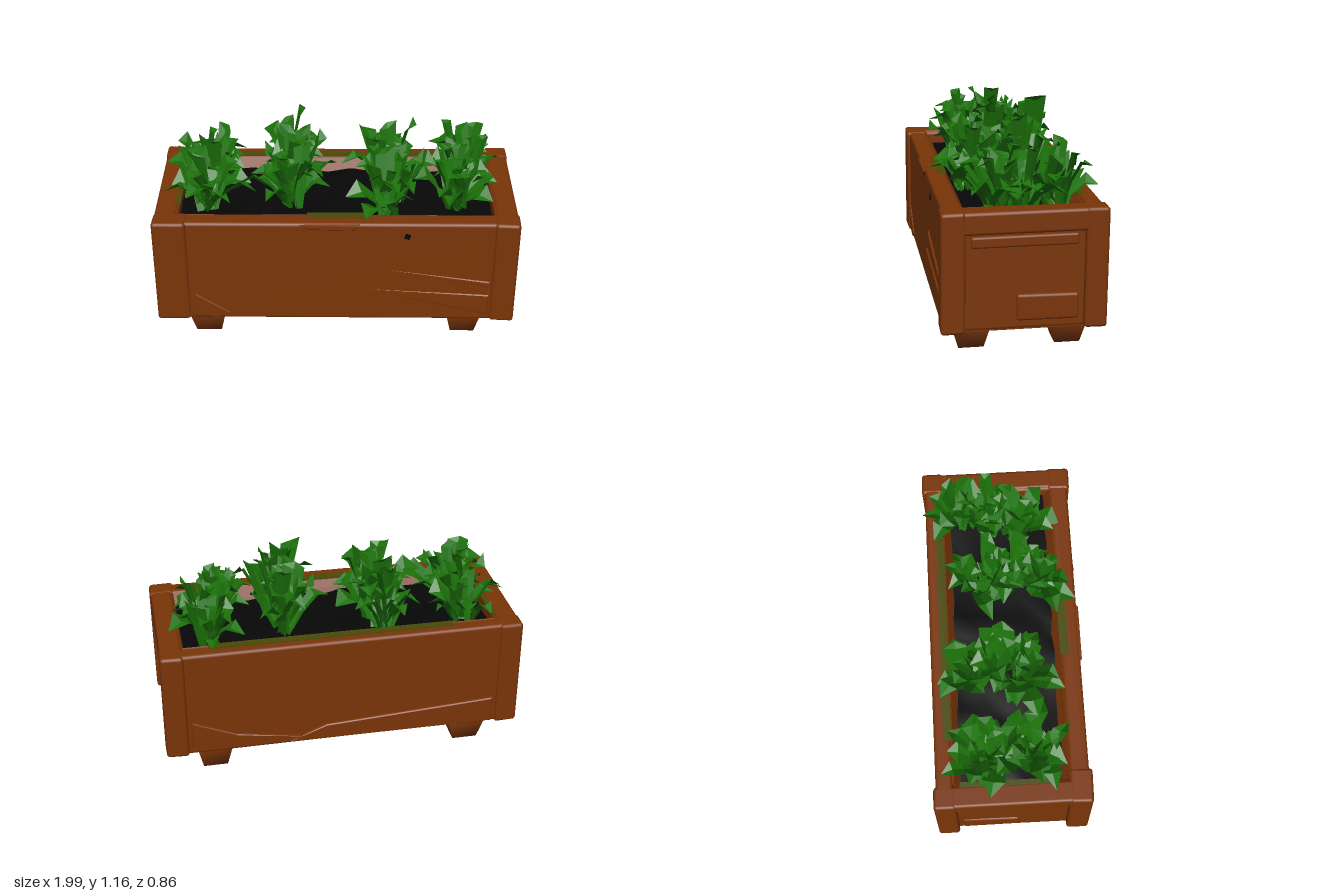
import * as THREE from 'three';
import { mergeVertices, toCreasedNormals } from 'three/addons/utils/BufferGeometryUtils.js';
import { RoundedBoxGeometry } from 'three/addons/geometries/RoundedBoxGeometry.js';

function seeded(seed) {
  return () => {
    seed = (seed * 16807) % 2147483647;
    return seed / 2147483647;
  };
}

// Box whose corners share vertices, ready to be reshaped
function weldedBox(...size) {
  const g = new THREE.BoxGeometry(...size);
  g.deleteAttribute('normal');
  g.deleteAttribute('uv');
  return mergeVertices(g);
}

export function createModel() {
  const model = new THREE.Group();
  const mat = (name, color) => new THREE.MeshStandardMaterial({ name, color });
  const wood = mat('wood', 0x7a3508);
  const soilDark = mat('soil', 0x070708);
  const leafGreen = mat('leaf green', 0x1c720a);
  const mossGreen = mat('moss', 0x4a4a08);
  leafGreen.side = THREE.DoubleSide;
  leafGreen.flatShading = true;
  const rand = seeded(4271);
  const between = (a, b) => a + (b - a) * rand();

  function add(name, geometry, material, parent = model) {
    const mesh = new THREE.Mesh(geometry, material);
    mesh.name = name;
    parent.add(mesh);
    return mesh;
  }

  // Worn timber: a soft-edged block given by its limits, gently warped
  function timber(name, x0, x1, y0, y1, z0, z1, radius = 0.018) {
    const g = new RoundedBoxGeometry(x1 - x0, y1 - y0, z1 - z0, 2, radius);
    g.translate((x0 + x1) / 2, (y0 + y1) / 2, (z0 + z1) / 2);
    const p = g.attributes.position;
    for (let i = 0; i < p.count; i++) {
      const x = p.getX(i), y = p.getY(i), z = p.getZ(i);
      p.setXYZ(i,
        x + 0.004 * Math.sin(9 * y + 7 * z),
        y + 0.004 * Math.sin(8 * x + 5 * z),
        z + 0.005 * Math.sin(6 * x + 8 * y));
    }
    add(name, g, wood);
  }

  // Long walls
  timber('frontWall', -0.97, 0.97, 0.155, 0.787, 0.31, 0.415);
  timber('backWall', -0.97, 0.97, 0.155, 0.787, -0.41, -0.32);

  // End walls: recessed panel, top rail, slats and corner posts
  for (const s of [-1, 1]) {
    const span = (a, b) => (s > 0 ? [a, b] : [-b, -a]);
    timber('endPanel', ...span(0.86, 0.958), 0.155, 0.78, -0.36, 0.36);
    timber('endTopRail', ...span(0.87, 0.99), 0.67, 0.788, -0.38, 0.38);
    timber('endSlat', ...span(0.93, 0.972), 0.595, 0.655, -0.27, 0.28, 0.012);
    timber('endLowerSlat', ...span(0.93, 0.972), 0.2, 0.34, -0.28, 0.04, 0.015);
    timber('frontPost', ...(s > 0 ? [0.86, 0.995] : [-0.995, -0.81]), 0.153, 0.79, 0.305, 0.43);
    timber('backPost', ...span(0.87, 0.995), 0.153, 0.79, -0.425, -0.305);
  }

  // Raised splinters, flush with the long walls
  function splinter(name, corners, z, depth) {
    const shape = new THREE.Shape(corners.map(([x, y]) => new THREE.Vector2(x, y)));
    const g = new THREE.ExtrudeGeometry(shape, { depth, bevelEnabled: true, bevelSize: 0.006, bevelThickness: 0.006, bevelSegments: 1 });
    g.translate(0, 0, z);
    add(name, g, wood);
  }
  splinter('frontSplinter', [[0.2, 0.36], [0.6, 0.26], [0.84, 0.2], [0.84, 0.32]], 0.41, 0.01);
  splinter('frontSplinter', [[0.3, 0.49], [0.84, 0.39], [0.84, 0.41]], 0.41, 0.01);
  splinter('frontSplinter', [[-0.8, 0.19], [-0.66, 0.17], [-0.6, 0.2], [-0.78, 0.32]], 0.41, 0.01);
  splinter('frontRimChip', [[-0.19, 0.78], [-0.14, 0.76], [0.09, 0.755], [0.12, 0.78]], 0.41, 0.008);
  splinter('backLowerSlat', [[-0.84, 0.18], [0.3, 0.18], [0.1, 0.26], [-0.84, 0.32]], -0.422, 0.012);
  splinter('backSplinter', [[0.2, 0.2], [0.84, 0.18], [0.84, 0.36], [0.6, 0.26]], -0.422, 0.012);

  // Small knot hole on the front
  const knot = add('knot', new THREE.BoxGeometry(0.03, 0.03, 0.006), soilDark);
  knot.position.set(0.385, 0.71, 0.416);
  knot.rotation.z = -0.3;

  // Rough underside: a closed slab with a lumpy lower face
  const base = weldedBox(1.9, 0.06, 0.76, 18, 1, 8);
  const bp = base.attributes.position;
  for (let i = 0; i < bp.count; i++) {
    const edge = Math.abs(bp.getX(i)) > 0.9 || Math.abs(bp.getZ(i)) > 0.36;
    if (bp.getY(i) < 0 && !edge) {
      bp.setXYZ(i, bp.getX(i) + between(-0.04, 0.04), bp.getY(i) + between(-0.018, 0.028), bp.getZ(i) + between(-0.035, 0.035));
    }
  }
  add('underside', toCreasedNormals(base, 0.6), wood).position.y = 0.182;

  // Tapered feet, worn smooth
  for (const [x, top] of [[-0.73, 0.215], [0.72, 0.205]]) {
    for (const s of [-1, 1]) {
      const g = weldedBox(top, 0.17, 0.23);
      const p = g.attributes.position;
      for (let i = 0; i < p.count; i++) {
        if (p.getY(i) < 0) p.setXYZ(i, p.getX(i) * 0.66, p.getY(i), p.getZ(i) * 0.58);
      }
      g.computeVertexNormals();
      add('foot', g, wood).position.set(x, 0.085, s * 0.255);
    }
  }

  // Soil bed with an uneven top
  const soil = new THREE.PlaneGeometry(1.74, 0.65, 16, 6).rotateX(-Math.PI / 2);
  const sp = soil.attributes.position;
  for (let i = 0; i < sp.count; i++) sp.setY(i, 0.715 + between(-0.015, 0.015));
  soil.computeVertexNormals();
  add('soil', soil, soilDark);

  // Sloping inner wood lip along the long walls
  for (const s of [-1, 1]) {
    const lip = add('innerLip', new THREE.BoxGeometry(1.72, 0.09, 0.02), wood);
    lip.position.set(0, 0.735, s * 0.295);
    lip.rotation.x = s * 0.5;
  }

  // Moss along the inner rims: x, z, length, width
  for (const [x, z, length, width] of [[0.02, 0.33, 0.36, 0.05], [0.05, -0.335, 1.35, 0.045], [-0.87, -0.03, 0.03, 0.5]]) {
    add('mossStrip', new THREE.BoxGeometry(length, 0.008, width), mossGreen).position.set(x, 0.788, z);
  }

  // One clump: folded pointed blades, upright in the middle, sprawling outside
  function clump(height, spread, leaves) {
    const pos = [], index = [];
    const turn = between(0, 6);
    for (let k = 0; k < leaves; k++) {
      const angle = turn + k * 2.4 + between(-0.5, 0.5);
      const lean = (k + 0.5) / leaves;
      const reach = spread * (0.35 + 0.65 * lean) * between(0.75, 1.12);
      const rise = height * (1 - 0.5 * lean) * between(0.55, 1.03);
      const width = between(0.04, 0.065);
      const twist = between(-0.7, 0.7);
      const bx = between(-0.05, 0.05), bz = between(-0.06, 0.06);
      const ca = Math.cos(angle), sa = Math.sin(angle);
      const start = pos.length / 3;
      // Sections: fraction of reach, fraction of rise, half width
      [[0, 0, 0.35], [0.3, 0.55, 0.8], [0.65, 0.92, 1], [1, 1 - 0.2 * lean, 0.05]].forEach(([r, h, w], j) => {
        for (const side of [-1, 0, 1]) {
          const off = side * w * width;
          const d = reach * r + off * Math.sin(twist) * 0.5;
          const y = rise * h + Math.abs(side) * w * 0.022 + off * Math.sin(twist);
          pos.push(bx + ca * d - sa * off, y, bz + sa * d + ca * off);
        }
        if (j === 0) return;
        for (let c = 0; c < 2; c++) {
          const a = start + (j - 1) * 3 + c, b = a + 3;
          index.push(a, b, a + 1, b, b + 1, a + 1);
        }
      });
    }
    const g = new THREE.BufferGeometry();
    g.setAttribute('position', new THREE.Float32BufferAttribute(pos, 3));
    g.setIndex(index);
    g.computeVertexNormals();
    return g;
  }

  // Four bushes, each a row of three clumps from back to front
  const bushes = [[-0.69, 0.42, -0.02], [-0.25, 0.48, -0.05], [0.3, 0.48, 0.05], [0.68, 0.42, -0.05]];
  for (const [x, height, z] of bushes) {
    const bush = new THREE.Group();
    bush.name = 'bush';
    bush.position.set(x, 0.705, z);
    model.add(bush);
    for (const s of [-1, 0, 1]) {
      const leaves = add('leaves', clump(height * between(0.95, 1.02), 0.25, 17), leafGreen, bush);
      leaves.position.set(between(-0.03, 0.03), 0, s * 0.15);
    }
  }
  return model;
}
